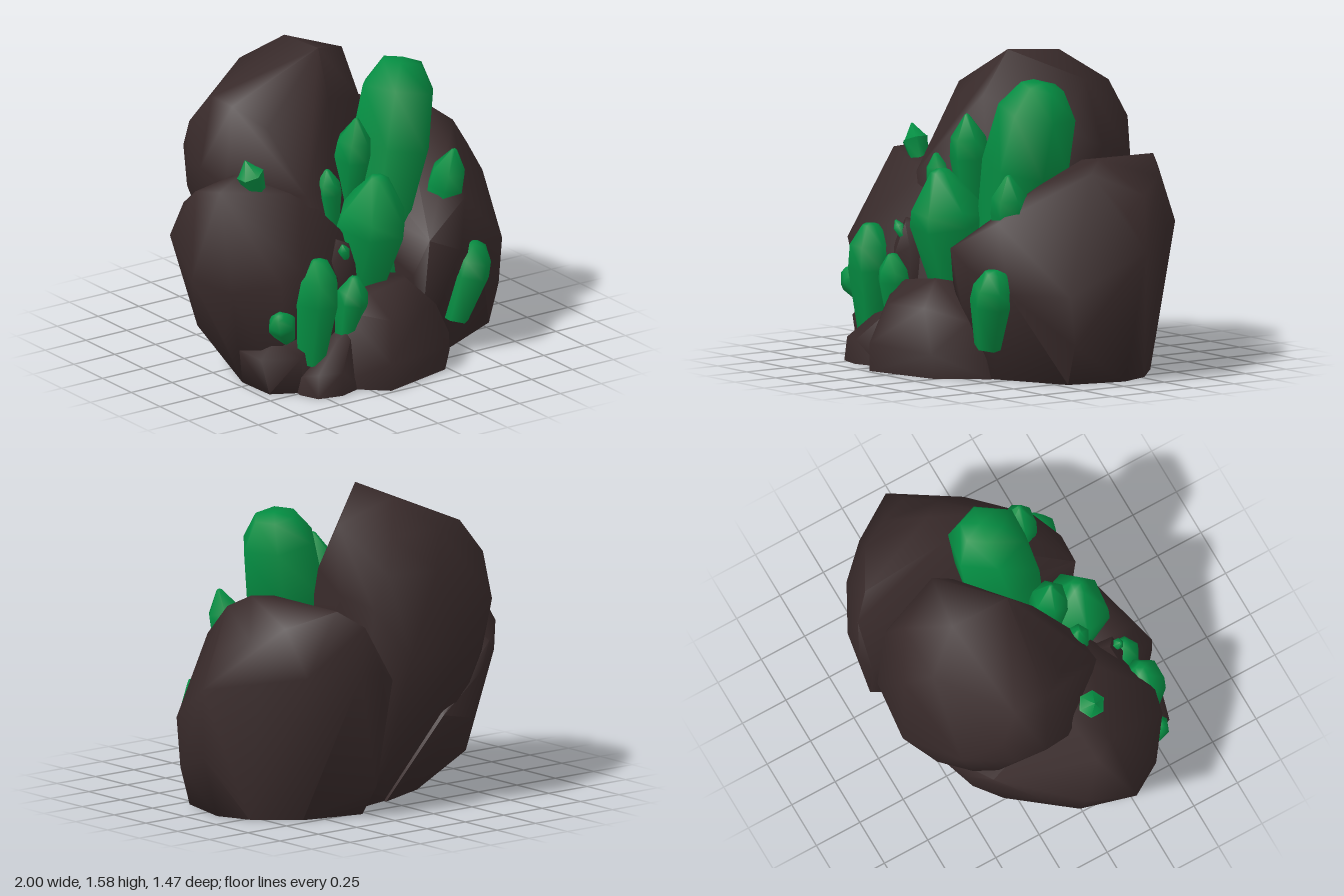
import * as THREE from 'three';
import { toCreasedNormals } from 'three/addons/utils/BufferGeometryUtils.js';
import { ConvexGeometry } from 'three/addons/geometries/ConvexGeometry.js';

// Corner points [x, y, z] of each boulder
const ROCKS = {
  rightBoulder: [
    [0.87, 0, -0.1], [0.8, 0, 0.2], [0.42, 0, 0.39], [0.25, 0, 0.38], [0.28, 0, -0.53], [0.6, 0, -0.45],
    [0.8, 0, -0.27], [0.96, 0.31, -0.1], [0.86, 0.45, 0.23], [1, 0.67, -0.14], [0.86, 0.2, 0.2],
    [0.28, 0.16, -0.64], [0.83, 0.72, -0.39], [0.66, 0.75, -0.56], [0.42, 0.75, -0.69], [0.28, 0.75, -0.7],
    [0.2, 0.7, -0.67], [0.16, 0.46, 0.45], [0.22, 0.65, 0.51], [0.4, 0.57, 0.53], [0.6, 0.45, 0.42],
    [0.5, 0.8, 0.42], [0.55, 0.98, 0.2], [0.5, 1.08, -0.1], [0.65, 1.1, -0.1], [0.72, 1.04, 0],
    [0.88, 0.85, -0.1], [0.8, 0.92, -0.27], [0.7, 0.99, -0.43], [0.47, 1.07, -0.56], [0.37, 0.99, -0.66],
  ],
  backBoulder: [
    [-0.07, 1.575, -0.05], [-0.06, 1.55, -0.36], [-0.3, 1.46, -0.1], [0.25, 1.44, -0.3], [-0.56, 1.35, -0.28],
    [-0.56, 1.35, -0.1], [-0.2, 1.4, -0.55], [0.1, 1.4, -0.55], [-0.1, 1.22, -0.66], [0.18, 1.22, -0.61],
    [0.24, 1.05, -0.57], [-0.7, 1.03, -0.18], [-0.67, 1, -0.34], [-0.62, 1.2, -0.39], [-0.53, 1, -0.57],
    [-0.62, 0.85, -0.41], [-0.52, 0.72, -0.5], [-0.22, 0.8, -0.735], [0.1, 0.8, -0.7], [0.28, 0.9, -0.5],
    [0.3, 1.1, -0.37], [0.27, 1.2, -0.17], [0, 1, 0.12], [-0.2, 0.95, 0.27], [-0.38, 0.95, 0.29],
    [-0.67, 0.98, 0], [-0.45, 1.25, 0.05], [-0.1, 1.35, 0.08], [-0.35, 0.6, -0.61], [0.1, 0.2, -0.5],
    [0.15, 0, -0.4], [-0.05, 0, -0.35], [0.25, 0.4, -0.52], [0, 0.4, 0.2], [0.1, 0, 0.3],
    [-0.3, 0.3, 0.2], [-0.2, 0, 0.3],
  ],
  leftBoulder: [
    [-1, 0.6, 0.17], [-0.95, 0.75, -0.09], [-0.87, 1, 0.02], [-0.8, 1.01, 0.13], [-0.55, 1.04, 0],
    [-0.38, 0.95, 0.25], [-0.2, 0.74, 0.35], [-0.88, 0.55, 0.35], [-0.68, 0.6, 0.5], [-0.57, 0.65, 0.52],
    [-0.3, 0.55, 0.47], [-0.82, 0.24, 0.2], [-0.62, 0.75, -0.44], [-0.8, 0.65, -0.26], [-0.5, 0.62, -0.52],
    [-0.48, 0.38, -0.48], [-0.2, 0.45, -0.59], [-0.81, 0.25, -0.05], [-0.55, 0.18, -0.34], [-0.71, 0, 0.2],
    [-0.62, 0, 0.05], [-0.3, 0, -0.26], [0, 0, -0.38], [0, 0, 0.4], [-0.6, 0, 0.4], [-0.18, 0.35, 0.42],
  ],
  frontStone: [
    [-0.35, 0, 0.57], [-0.17, 0, 0.73], [0.23, 0, 0.63], [0.42, 0, 0.4], [-0.2, 0, 0.3], [-0.34, 0.05, 0.59],
    [-0.17, 0.14, 0.73], [0.23, 0.12, 0.635], [0.4, 0.1, 0.42], [-0.3, 0.38, 0.5], [-0.12, 0.34, 0.66],
    [0.12, 0.34, 0.6], [-0.15, 0.45, 0.52], [0.08, 0.48, 0.5], [0.13, 0.46, 0.4], [0.3, 0.28, 0.45],
    [-0.2, 0.42, 0.3], [0.22, 0.25, 0.2],
  ],
  frontLeftStone: [
    [-0.58, 0, 0.52], [-0.54, 0, 0.62], [-0.41, 0, 0.65], [-0.25, 0, 0.6], [-0.3, 0, 0.35], [-0.55, 0, 0.35],
    [-0.57, 0.1, 0.53], [-0.53, 0.12, 0.61], [-0.41, 0.12, 0.645], [-0.38, 0.25, 0.55], [-0.25, 0.3, 0.52],
    [-0.25, 0.28, 0.35],
  ],
  lowLeftStone: [
    [-0.71, 0, 0.2], [-0.7, 0, 0.42], [-0.55, 0, 0.5], [-0.4, 0, 0.5], [-0.4, 0, 0.2], [-0.77, 0.2, 0.25],
    [-0.75, 0.19, 0.42], [-0.58, 0.2, 0.53], [-0.65, 0.28, 0.4], [-0.45, 0.28, 0.48], [-0.5, 0.28, 0.2],
  ],
  middleStone: [
    [-0.35, 0.4, 0.45], [-0.18, 0.4, 0.46], [-0.2, 0.4, 0.25], [-0.35, 0.6, 0.45], [-0.29, 0.74, 0.42],
    [-0.24, 0.72, 0.46], [-0.2, 0.6, 0.46], [-0.22, 0.7, 0.3], [-0.28, 0.55, 0.5],
  ],
};

// Crystals: base, tip, radius, blunt tip ratio, spin
const CRYSTALS = {
  largeCrystal: [[0.13, 0.42, 0.14], [0.375, 1.465, 0.05], 0.22, 0.5, 0.35],
  middleCrystal: [[-0.05, 0.36, 0.26], [-0.01, 1.02, 0.41], 0.195, 0.25, 0.4],
  backCrystal: [[-0.06, 0.75, 0.17], [-0.03, 1.28, 0.23], 0.1, 0.12, 0.3],
  smallBackCrystal: [[-0.21, 0.75, 0.26], [-0.24, 1.06, 0.27], 0.065, 0.2, 0],
  rightCrystal: [[0.41, 0.56, 0.26], [0.49, 1.04, 0.345], 0.1, 0.15, 0.4],
  lowRightCrystal: [[0.43, 0.17, 0.42], [0.54, 0.57, 0.46], 0.12, 0.45, 0.2],
  frontLeftCrystal: [[-0.49, 0.15, 0.48], [-0.455, 0.7, 0.52], 0.118, 0.35, 0.5],
  frontCrystal: [[-0.28, 0.24, 0.49], [-0.25, 0.57, 0.53], 0.085, 0.3, 0],
  leftCrystal: [[-0.6, 0.29, 0.43], [-0.7, 0.44, 0.5], 0.075, 0.4, 0.3],
  topLeftCrystal: [[-0.57, 0.96, 0.13], [-0.645, 1.15, 0.13], 0.07, 0.1, 0],
  tinyCrystal: [[-0.26, 0.65, 0.46], [-0.295, 0.73, 0.48], 0.03, 0.2, 0],
};

// Six-sided shaft, narrower at the root, with a bevelled point
function crystalGeometry(length, r, blunt, spin) {
  const bevel = Math.min(r * 1.4, length * 0.45) * (1 - blunt);
  const profile = [
    [0, 0], [r * 0.65, 0], [r, length * 0.58], [r * 0.9, length - bevel],
    [r * blunt, length - r * 0.08], [0, length],
  ].map(([x, y]) => new THREE.Vector2(x, y));
  const geometry = new THREE.LatheGeometry(profile, 6, spin);
  return toCreasedNormals(geometry.toNonIndexed(), 1.2);
}

export function createModel() {
  const model = new THREE.Group();
  const rock = new THREE.MeshStandardMaterial({ color: 0x382a2a });
  rock.name = 'darkBrownRock';
  const green = new THREE.MeshStandardMaterial({ color: 0x048d42 });
  green.name = 'greenCrystal';

  // Boulders and stones
  for (const [name, corners] of Object.entries(ROCKS)) {
    const hull = new ConvexGeometry(corners.map((p) => new THREE.Vector3(...p)));
    const mesh = new THREE.Mesh(toCreasedNormals(hull, 1.4), rock);
    mesh.name = name;
    model.add(mesh);
  }

  // Crystals growing out between them
  const up = new THREE.Vector3(0, 1, 0);
  for (const [name, [base, tip, radius, blunt, spin]] of Object.entries(CRYSTALS)) {
    const from = new THREE.Vector3(...base);
    const axis = new THREE.Vector3(...tip).sub(from);
    const mesh = new THREE.Mesh(crystalGeometry(axis.length(), radius, blunt, spin), green);
    mesh.position.copy(from);
    mesh.quaternion.setFromUnitVectors(up, axis.normalize());
    mesh.name = name;
    model.add(mesh);
  }
  return model;
}
